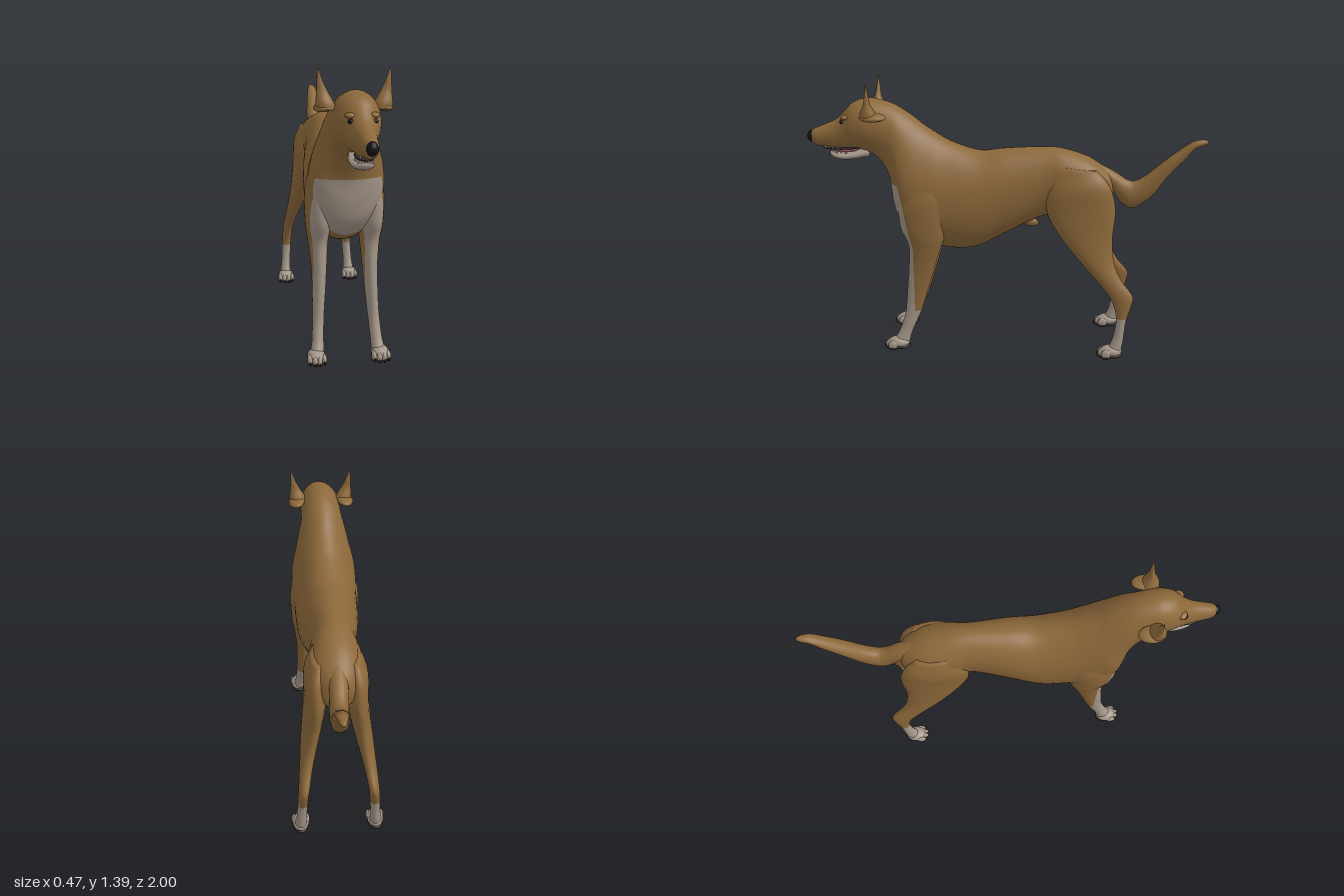
import * as THREE from 'three';

const mat = (name, color) => {
  const m = new THREE.MeshStandardMaterial({ color });
  m.name = name;
  return m;
};

// Loft through rings [z1, y1, z2, y2, halfWidth, centreX, egg]: two opposite
// edge points in the side plane, a half width, and a bias of the widest point.
function loft(rings, steps = 6, segs = 32) {
  const curve = (f) => new THREE.CatmullRomCurve3(rings.map(f), false, 'catmullrom', 0.5);
  const edgeA = curve((r) => new THREE.Vector3(r[5] || 0, r[1], r[0]));
  const edgeB = curve((r) => new THREE.Vector3(r[5] || 0, r[3], r[2]));
  const size = curve((r) => new THREE.Vector3(r[4], r[6] || 0, 0));
  const n = (rings.length - 1) * steps;
  const pos = [], idx = [];
  for (let i = 0; i <= n; i++) {
    const a = edgeA.getPoint(i / n), b = edgeB.getPoint(i / n), s = size.getPoint(i / n);
    const c = a.clone().add(b).multiplyScalar(0.5), h = a.clone().sub(b).multiplyScalar(0.5);
    for (let j = 0; j < segs; j++) {
      const t = (j / segs) * Math.PI * 2, k = Math.cos(t);
      pos.push(c.x + s.x * Math.sin(t) * (1 - s.y * k), c.y + h.y * k, c.z + h.z * k);
    }
  }
  for (let i = 0; i < n; i++) {
    for (let j = 0; j < segs; j++) {
      const a = i * segs + j, b = i * segs + ((j + 1) % segs), c = a + segs, d = b + segs;
      idx.push(a, c, b, b, c, d);
    }
  }
  // End caps
  for (const [start, flip] of [[0, false], [n * segs, true]]) {
    const pole = pos.length / 3, p = [0, 0, 0];
    for (let j = 0; j < segs; j++) for (let k = 0; k < 3; k++) p[k] += pos[(start + j) * 3 + k] / segs;
    pos.push(...p);
    for (let j = 0; j < segs; j++) {
      const a = start + j, b = start + ((j + 1) % segs);
      idx.push(pole, flip ? b : a, flip ? a : b);
    }
  }
  // Turn the faces outward when the enclosed volume comes out negative
  let volume = 0;
  const v = (i) => new THREE.Vector3().fromArray(pos, i * 3);
  for (let i = 0; i < idx.length; i += 3) volume += v(idx[i]).dot(v(idx[i + 1]).cross(v(idx[i + 2])));
  if (volume < 0) idx.reverse();
  const g = new THREE.BufferGeometry();
  g.setAttribute('position', new THREE.Float32BufferAttribute(pos, 3));
  g.setIndex(idx);
  g.computeVertexNormals();
  return g;
}

// Positive where the coat is pale: chest, front of the forelegs, lower legs
const pale = (y, z) => Math.max(
  Math.min(0.885 - y, z - 0.46 - Math.max(0, y - 0.55) * 0.2), 0.215 - y);

// Cut a loft along the coat boundary into two material groups
function splitCoat(geo) {
  const p = geo.attributes.position, nm = geo.attributes.normal, index = geo.index.array;
  const vert = (i) => [p.getX(i), p.getY(i), p.getZ(i), nm.getX(i), nm.getY(i), nm.getZ(i), pale(p.getY(i), p.getZ(i))];
  const out = new THREE.BufferGeometry(), pos = [], nor = [];
  [-1, 1].forEach((sign, group) => {
    const start = pos.length / 3;
    for (let i = 0; i < index.length; i += 3) {
      const tri = [vert(index[i]), vert(index[i + 1]), vert(index[i + 2])], poly = [];
      tri.forEach((a, k) => {
        const b = tri[(k + 1) % 3];
        if (a[6] * sign >= 0) poly.push(a);
        if (a[6] * b[6] < 0) poly.push(a.map((q, m) => q + (b[m] - q) * a[6] / (a[6] - b[6])));
      });
      for (let k = 1; k + 1 < poly.length; k++) {
        for (const q of [poly[0], poly[k], poly[k + 1]]) {
          pos.push(q[0], q[1], q[2]);
          nor.push(q[3], q[4], q[5]);
        }
      }
    }
    out.addGroup(start, pos.length / 3 - start, group);
  });
  out.setAttribute('position', new THREE.Float32BufferAttribute(pos, 3));
  out.setAttribute('normal', new THREE.Float32BufferAttribute(nor, 3));
  return out;
}

export function createModel() {
  const fur = mat('tan fur', 0x8c683a), cream = mat('pale fur', 0xa39588);
  const black = mat('black nose and eyes', 0x151212), pad = mat('dark pads', 0x2e2725);
  const pink = mat('pink tongue', 0xb0626a), ivory = mat('teeth', 0xd6d0c2);
  const model = new THREE.Group();
  const add = (name, geo, material) => {
    const m = new THREE.Mesh(geo, material);
    m.name = name;
    model.add(m);
    return m;
  };
  const blob = (name, material, c, r, tilt = 0) => {
    const m = add(name, new THREE.SphereGeometry(1, 20, 14), material);
    m.position.set(...c);
    m.scale.set(...r);
    m.rotation.x = tilt;
    return m;
  };

  // Trunk, neck, skull and muzzle in one skin
  add('body', splitCoat(loft([
    [-0.545, 0.91, -0.545, 0.83, 0.025], [-0.51, 0.95, -0.525, 0.76, 0.08],
    [-0.42, 1.01, -0.42, 0.73, 0.125], [-0.3, 1.05, -0.3, 0.71, 0.125],
    [-0.2, 1.06, -0.19, 0.70, 0.112], [0, 1.05, 0, 0.605, 0.142],
    [0.13, 1.038, 0.15, 0.53, 0.16, 0, 0.05], [0.27, 1.08, 0.3, 0.525, 0.166, 0, 0.1],
    [0.35, 1.125, 0.44, 0.575, 0.172, 0, 0.15], [0.41, 1.165, 0.535, 0.66, 0.17, 0, 0.18],
    [0.46, 1.205, 0.57, 0.76, 0.15, 0, 0.12], [0.52, 1.245, 0.585, 0.88, 0.126],
    [0.57, 1.272, 0.62, 0.965, 0.111], [0.63, 1.29, 0.66, 1.01, 0.106, 0.002],
    [0.695, 1.297, 0.70, 1.03, 0.104, 0.005], [0.76, 1.275, 0.75, 1.045, 0.09, 0.009],
    [0.805, 1.232, 0.80, 1.042, 0.068, 0.011, 0.05], [0.85, 1.19, 0.85, 1.042, 0.053, 0.012],
    [0.91, 1.163, 0.90, 1.05, 0.043, 0.014], [0.96, 1.143, 0.95, 1.056, 0.035, 0.016],
    [0.985, 1.125, 0.972, 1.07, 0.02, 0.018],
  ], 6, 44)), [fur, cream]);

  // Tail
  add('tail', loft([
    [-0.46, 0.985, -0.47, 0.88, 0.04], [-0.55, 0.938, -0.535, 0.845, 0.045],
    [-0.61, 0.9, -0.59, 0.775, 0.045, 0.003], [-0.655, 0.893, -0.65, 0.752, 0.045, 0.006],
    [-0.715, 0.93, -0.735, 0.81, 0.043, 0.009], [-0.79, 0.995, -0.81, 0.915, 0.04, 0.012],
    [-0.87, 1.06, -0.885, 1.0, 0.033, 0.016], [-0.935, 1.103, -0.935, 1.062, 0.026, 0.02],
    [-0.985, 1.11, -0.98, 1.08, 0.016, 0.02], [-1, 1.1, -1, 1.09, 0.006, 0.02],
  ], 5, 20), fur);

  // Nose, lower jaw, mouth
  blob('nose', black, [0.018, 1.104, 0.97], [0.026, 0.031, 0.03]);
  blob('mouthLining', pad, [0.012, 1.044, 0.83], [0.04, 0.008, 0.095]);
  blob('tongue', pink, [0.012, 1.033, 0.81], [0.033, 0.009, 0.065]);
  add('lowerJaw', loft([
    [0.69, 1.05, 0.69, 1.0, 0.04, 0.008], [0.75, 1.032, 0.75, 0.99, 0.05, 0.01],
    [0.81, 1.022, 0.81, 0.984, 0.046, 0.012], [0.86, 1.025, 0.86, 0.992, 0.036, 0.013],
    [0.885, 1.027, 0.885, 1.008, 0.018, 0.014],
  ], 4, 20), cream);
  for (let i = 0; i < 10; i++) {
    const a = (i / 9 - 0.5) * Math.PI, canine = i === 2 || i === 7;
    for (const upper of [false, true]) {
      const tooth = add(upper ? 'upperTooth' : 'lowerTooth',
        new THREE.ConeGeometry(0.005, canine ? 0.022 : 0.013, 6), ivory);
      tooth.position.set(0.013 + 0.034 * Math.sin(a), upper ? 1.046 : 1.029, (upper ? 0.84 : 0.8) + 0.075 * Math.cos(a));
      if (upper) tooth.rotation.x = Math.PI;
    }
  }
  blob('sheath', fur, [0, 0.672, -0.115], [0.025, 0.028, 0.058], -0.35);

  for (const s of [1, -1]) {
    const side = s > 0 ? 'left' : 'right';
    const mirror = (rings) => rings.map((r) => [...r.slice(0, 5), r[5] * s]);

    // Eye with brow
    blob(side + 'Eye', black, [0.011 + s * 0.047, 1.185, 0.808], [0.017, 0.011, 0.013]);
    blob(side + 'Brow', fur, [0.011 + s * 0.048, 1.207, 0.79], [0.026, 0.013, 0.024]);

    // Pointed ear over a short folded base
    add(side + 'Ear', loft(mirror([
      [0.705, 1.215, 0.61, 1.215, 0.045, 0.12], [0.70, 1.245, 0.625, 1.245, 0.04, 0.126],
      [0.68, 1.285, 0.645, 1.285, 0.026, 0.136], [0.67, 1.33, 0.651, 1.33, 0.014, 0.146],
      [0.662, 1.39, 0.658, 1.39, 0.002, 0.155],
    ]), 4, 16), fur);
    blob(side + 'EarBase', fur, [s * 0.13, 1.222, 0.64], [0.043, 0.02, 0.066]).rotation.z = s * -0.15;

    // Foreleg with shoulder
    add(side + 'Foreleg', splitCoat(loft(mirror([
      [0.47, 0.97, 0.33, 0.98, 0.03, 0.1], [0.525, 0.81, 0.29, 0.82, 0.058, 0.124],
      [0.525, 0.67, 0.3, 0.63, 0.06, 0.123], [0.485, 0.565, 0.33, 0.53, 0.047, 0.123],
      [0.488, 0.45, 0.36, 0.43, 0.037, 0.122], [0.498, 0.34, 0.39, 0.33, 0.032, 0.125],
      [0.508, 0.23, 0.425, 0.22, 0.028, 0.131], [0.52, 0.17, 0.452, 0.155, 0.027, 0.135],
      [0.545, 0.1, 0.482, 0.085, 0.028, 0.14], [0.57, 0.055, 0.495, 0.035, 0.032, 0.146],
    ]), 6, 28)), [fur, cream]);

    // Hind leg with thigh and hock
    add(side + 'HindLeg', splitCoat(loft(mirror([
      [-0.29, 0.98, -0.46, 0.96, 0.03, 0.085], [-0.22, 0.86, -0.525, 0.88, 0.053, 0.097],
      [-0.215, 0.745, -0.555, 0.76, 0.055, 0.1], [-0.275, 0.635, -0.545, 0.62, 0.05, 0.115],
      [-0.36, 0.53, -0.555, 0.50, 0.042, 0.135], [-0.45, 0.43, -0.592, 0.415, 0.033, 0.153],
      [-0.52, 0.35, -0.652, 0.335, 0.028, 0.167], [-0.56, 0.28, -0.65, 0.285, 0.026, 0.174],
      [-0.575, 0.2, -0.625, 0.2, 0.025, 0.18], [-0.562, 0.11, -0.615, 0.1, 0.025, 0.186],
      [-0.54, 0.055, -0.605, 0.035, 0.03, 0.19],
    ]), 6, 28)), [fur, cream]);

    // Paws with toes, claws and dark soles
    for (const [name, x, z] of [['ForePaw', 0.152, 0.55], ['HindPaw', 0.19, -0.555]]) {
      blob(side + name, cream, [s * x, 0.036, z], [0.042, 0.03, 0.056]);
      blob(side + name + 'Sole', pad, [s * x, 0.016, z - 0.005], [0.04, 0.016, 0.055]);
      for (let i = 0; i < 4; i++) {
        const dx = (i - 1.5) * 0.022, dz = Math.abs(i - 1.5) < 1 ? 0.042 : 0.026;
        blob(side + name + 'Toe', cream, [s * x + dx, 0.029, z + dz], [0.013, 0.023, 0.027], 0.2);
        blob(side + name + 'ToePad', pad, [s * x + dx, 0.01, z + dz], [0.011, 0.01, 0.022]);
        blob(side + name + 'Claw', pad, [s * x + dx, 0.017, z + dz + 0.024], [0.005, 0.008, 0.011], 0.5);
      }
    }
  }
  return model;
}
